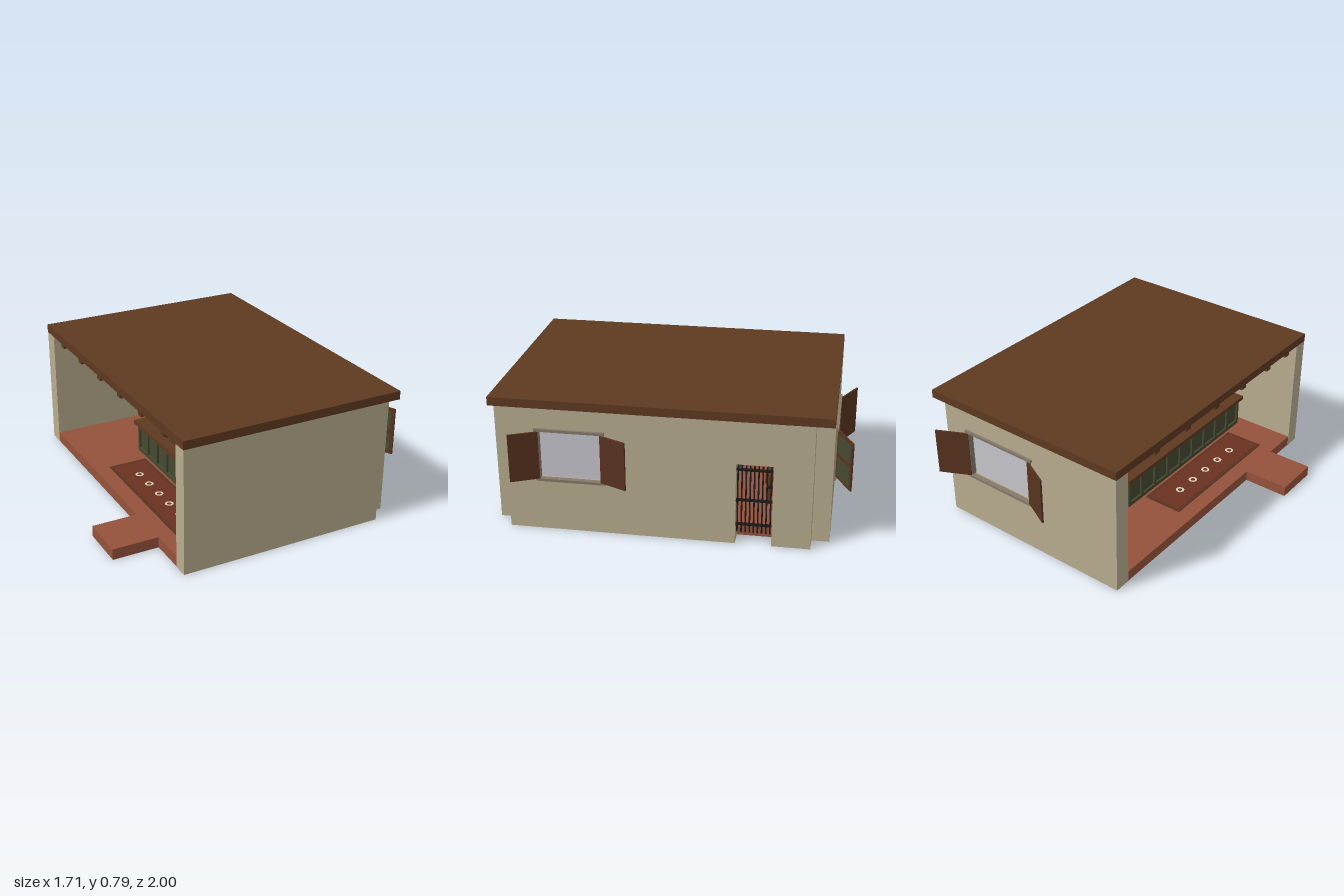
import * as THREE from 'three';

const mat = (name, color) => {
  const m = new THREE.MeshStandardMaterial({ color });
  m.name = name;
  return m;
};

export function createModel() {
  const plaster = mat('plaster', 0xb8ac8e);
  const wood = mat('wood', 0x5f3a21);
  const shutterWood = mat('shutterWood', 0x58331f);
  const brick = mat('brick', 0x95523b);
  const glass = mat('glass', 0xc5c5cc);
  const trim = mat('trim', 0x85796a);
  const green = mat('greenPaint', 0x454a30);
  const iron = mat('iron', 0x1c1a1a);
  const cream = mat('cream', 0xd8cfb8);
  const rugRed = mat('rugRed', 0x6b3222);

  const model = new THREE.Group();
  model.name = 'tavern';

  const add = (parent, name, geometry, material, x = 0, y = 0, z = 0) => {
    const mesh = new THREE.Mesh(geometry, material);
    mesh.name = name;
    mesh.position.set(x, y, z);
    parent.add(mesh);
    return mesh;
  };
  // box given by its limits on each axis
  const span = (parent, name, material, [x0, x1], [y0, y1], [z0, z1]) =>
    add(parent, name, new THREE.BoxGeometry(x1 - x0, y1 - y0, z1 - z0), material,
      (x0 + x1) / 2, (y0 + y1) / 2, (z0 + z1) / 2);
  const group = (name, parent = model) => {
    const g = new THREE.Group();
    g.name = name;
    parent.add(g);
    return g;
  };

  // wall in the xy plane from a to b, with rectangular openings [x0, x1, y0, y1]
  const wallTop = 0.74;
  const wallGeometry = (a, b, depth, openings, doorway) => {
    const s = new THREE.Shape();
    s.moveTo(a, 0);
    if (doorway) {
      const [d0, d1, h] = doorway;
      s.lineTo(d0, 0).lineTo(d0, h).lineTo(d1, h).lineTo(d1, 0);
    }
    s.lineTo(b, 0).lineTo(b, wallTop).lineTo(a, wallTop).closePath();
    for (const [x0, x1, y0, y1] of openings) {
      const hole = new THREE.Path();
      hole.moveTo(x0, y0).lineTo(x0, y1).lineTo(x1, y1).lineTo(x1, y0).closePath();
      s.holes.push(hole);
    }
    return new THREE.ExtrudeGeometry(s, { depth, bevelEnabled: false });
  };

  // walls, open towards -x, with notched corners on the +x side
  const winLow = 0.32, winHigh = 0.61;
  span(model, 'frontWall', plaster, [-0.575, 0.67], [0, wallTop], [0.91, 1]);
  add(model, 'backWall', wallGeometry(-0.575, 0.67, 0.1, [[0.035, 0.49, winLow, winHigh]]), plaster, 0, 0, -0.9);
  const sideWall = add(model, 'sideWall',
    wallGeometry(-0.91, 0.8, 0.1, [[-0.718, -0.368, winLow, winHigh]], [0.38, 0.583, 0.49]), plaster, 0.67, 0, 0);
  sideWall.rotation.y = Math.PI / 2;

  // floor, entrance step and roof
  const floorTop = 0.065;
  span(model, 'floor', brick, [-0.573, 0.67], [0, floorTop], [-0.8, 0.91]);
  span(model, 'entranceStep', brick, [-0.85, -0.573], [0, floorTop], [0.41, 0.69]);
  span(model, 'roof', wood, [-0.577, 0.77], [wallTop, 0.79], [-0.9, 1]);

  // ceiling joists
  for (const z of [-0.77, -0.48, -0.19, 0.1, 0.38, 0.66, 0.88])
    span(model, 'ceilingJoist', wood, [-0.53, 0.67], [0.665, wallTop], [z - 0.022, z + 0.022]);

  // window facing local +z, with a pair of open shutters
  const addWindow = (name, width, leaf, angle) => {
    const w = group(name);
    const h = winHigh - winLow, yMid = (winLow + winHigh) / 2, half = width / 2;
    add(w, 'pane', new THREE.BoxGeometry(width, h, 0.008), glass, 0, yMid, -0.03);
    for (const y of [winLow - 0.006, winHigh + 0.006])
      add(w, 'windowRail', new THREE.BoxGeometry(width + 0.045, 0.016, 0.03), trim, 0, y, 0);
    for (const s of [-1, 1]) {
      add(w, 'windowJamb', new THREE.BoxGeometry(0.018, h, 0.03), trim, s * (half + 0.007), yMid, -0.006);
      const shutter = group('shutter', w);
      shutter.position.set(s * half, yMid, 0.012);
      shutter.rotation.y = -s * angle;
      add(shutter, 'shutterLeaf', new THREE.BoxGeometry(leaf, h - 0.004, 0.01), shutterWood, s * leaf / 2, 0, 0);
      for (const py of [-1, 1])
        add(shutter, 'shutterPanel', new THREE.BoxGeometry(leaf - 0.04, h / 2 - 0.035, 0.004), green,
          s * leaf / 2, py * (h / 4 - 0.003), -0.005);
    }
    return w;
  };
  const sideWindow = addWindow('sideWindow', 0.35, 0.168, 0.44);
  sideWindow.position.set(0.77, 0, 0.543);
  sideWindow.rotation.y = Math.PI / 2;
  const backWindow = addWindow('backWindow', 0.455, 0.195, 0.46);
  backWindow.position.set(0.2625, 0, -0.9);
  backWindow.rotation.y = Math.PI;

  // barred gate in the side doorway
  const gate = group('barredGate');
  for (let i = 0; i < 9; i++)
    add(gate, 'gateBar', new THREE.BoxGeometry(0.009, 0.41, 0.008), iron, 0.757, 0.275, -0.39 - i * 0.0228);
  for (const y of [0.12, 0.27, 0.455])
    add(gate, 'gateRail', new THREE.BoxGeometry(0.014, 0.012, 0.2), iron, 0.757, y, -0.481);
  for (const y of [0.12, 0.27])
    add(gate, 'gateHinge', new THREE.CylinderGeometry(0.006, 0.006, 0.02, 8), iron, 0.768, y, -0.388);
  add(gate, 'gateLock', new THREE.BoxGeometry(0.016, 0.012, 0.025), iron, 0.757, 0.36, -0.566);

  // bar counter with panelled front and wooden top
  const bar = group('barCounter');
  const z0 = -0.33, z1 = 0.85, panels = 9, step = (z1 - z0) / panels;
  span(bar, 'counterBody', green, [-0.205, -0.04], [floorTop, 0.245], [z0, z1]);
  span(bar, 'counterTop', wood, [-0.235, -0.025], [0.245, 0.27], [z0 - 0.02, z1 + 0.02]);
  for (const y of [floorTop + 0.012, 0.233])
    span(bar, 'counterRail', green, [-0.217, -0.205], [y - 0.012, y + 0.012], [z0, z1]);
  for (let i = 0; i <= panels; i++) {
    const z = THREE.MathUtils.clamp(z0 + i * step, z0 + 0.01, z1 - 0.01);
    span(bar, 'counterStile', green, [-0.217, -0.205], [floorTop + 0.024, 0.221], [z - 0.01, z + 0.01]);
  }

  // trays and plates on the counter
  for (const [z, material] of [[-0.07, cream], [0.06, rugRed], [0.18, cream], [0.33, rugRed]]) {
    span(bar, 'tray', shutterWood, [-0.17, -0.08], [0.27, 0.278], [z - 0.045, z + 0.045]);
    add(bar, 'plate', new THREE.CylinderGeometry(0.03, 0.022, 0.01, 16), material, -0.125, 0.283, z);
  }

  // rug with border and a row of rings
  const rug = group('rug');
  span(rug, 'rugBorder', shutterWood, [-0.48, -0.235], [floorTop, 0.069], [-0.19, 0.71]);
  span(rug, 'rugField', rugRed, [-0.462, -0.253], [0.069, 0.071], [-0.172, 0.692]);
  for (let i = 0; i < 5; i++) {
    const ring = add(rug, 'rugRing', new THREE.RingGeometry(0.014, 0.027, 8), cream, -0.36, 0.0725, -0.01 + i * 0.135);
    ring.rotation.x = -Math.PI / 2;
  }

  // small table behind the back wall window
  const table = group('table');
  span(table, 'tableTop', wood, [0.1, 0.42], [0.205, 0.255], [-0.74, -0.51]);
  span(table, 'tableShelf', wood, [0.12, 0.4], [0.145, 0.158], [-0.73, -0.515]);
  for (const x of [0.13, 0.39])
    for (const z of [-0.72, -0.53])
      span(table, 'tableLeg', wood, [x - 0.012, x + 0.012], [floorTop, 0.205], [z - 0.012, z + 0.012]);

  return model;
}
